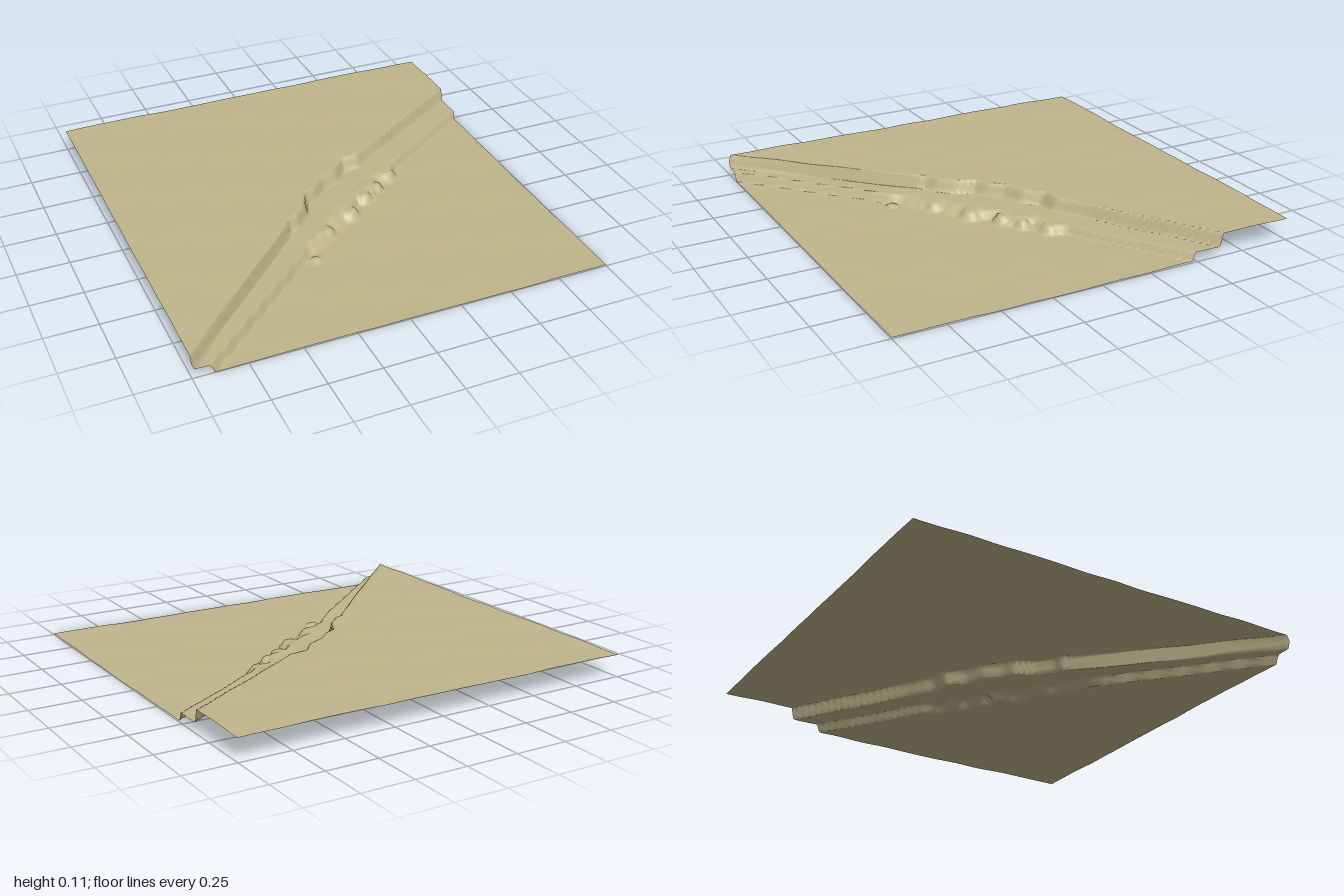
import * as THREE from 'three';

// Edge lines of the two terraces, as [x, z] points seen from above.
const upperEdge = [[-1, 1], [-0.27, 0.26], [-0.25, 0.23], [-0.2, 0.21], [-0.13, 0.14], [-0.09, 0.05],
  [-0.03, 0.02], [0.04, -0.05], [0.13, -0.09], [0.2, -0.17], [0.29, -0.18], [0.33, -0.21], [1, -0.63]];
const lowerEdge = [[-1, 1.08], [-0.91, 1], [-0.25, 0.42], [-0.21, 0.37], [-0.12, 0.33], [-0.05, 0.25],
  [0.03, 0.21], [0.12, 0.15], [0.17, 0.07], [0.27, 0.05], [0.33, -0.05], [0.42, -0.07], [0.47, -0.14], [1, -0.48]];

// Slumped blocks along the worn part of the lower terrace: [x, z, radius].
const blocks = [[-0.21, 0.44, 0.035], [-0.09, 0.27, 0.06], [0.08, 0.16, 0.065], [0.21, 0.06, 0.05],
  [0.3, 0.0, 0.045], [0.4, -0.09, 0.06]];

const TOP = 0.113, SHELF = 0.05, FLOOR = 0.008;
const smooth = THREE.MathUtils.smoothstep;

function edgeZ(points, x) {
  let i = 0;
  while (i < points.length - 2 && x > points[i + 1][0]) i++;
  const [a, b] = [points[i], points[i + 1]];
  return THREE.MathUtils.mapLinear(x, a[0], b[0], a[1], b[1]);
}

// Gentle rolling of the ground.
function ripple(x, z) {
  return 0.0016 * Math.sin(9 * x + 5 * z + 1) + 0.0014 * Math.sin(17 * z - 6 * x + 2)
    + 0.0011 * Math.sin(21 * x + 11 * z) * Math.cos(15 * z - 4 * x);
}

function groundHeight(x, z) {
  const worn = smooth(x, -0.3, -0.22) * (1 - smooth(x, 0.4, 0.5));
  const upperHalf = 0.007 + 0.009 * worn;
  const lowerHalf = 0.007 + 0.035 * worn;
  const dUpper = z - edgeZ(upperEdge, x);
  const dLower = z - edgeZ(lowerEdge, x);
  let y = FLOOR + (SHELF - FLOOR) * (1 - smooth(dLower, -lowerHalf, lowerHalf))
    + (TOP - SHELF) * (1 - smooth(dUpper, -upperHalf, upperHalf));
  // Broken ground around the worn lower edge
  const rough = worn * Math.exp(-((dLower / 0.07) ** 2));
  y += rough * 0.006 * Math.sin(42 * x + 18 * z) * Math.cos(37 * z - 12 * x);
  for (const [bx, bz, r] of blocks) {
    const d = Math.hypot((x - bx) * 0.9, z - bz);
    const mound = FLOOR + (bx < -0.15 ? 0.014 : 0.04) * (1 - smooth(d, r * 0.45, r));
    y = Math.max(y, mound);
  }
  return y + ripple(x, z);
}

export function createModel() {
  const model = new THREE.Group();
  model.name = 'terracedTerrain';
  const sand = new THREE.MeshStandardMaterial({ color: 0xbfb48a, side: THREE.DoubleSide });
  sand.name = 'sand';

  // One open ground sheet, raised by the height rule
  const sheet = new THREE.PlaneGeometry(2, 2, 160, 160).rotateX(-Math.PI / 2);
  const pos = sheet.attributes.position;
  for (let i = 0; i < pos.count; i++) pos.setY(i, groundHeight(pos.getX(i), pos.getZ(i)));
  sheet.computeBoundingBox();
  sheet.translate(0, -sheet.boundingBox.min.y, 0);
  sheet.computeVertexNormals();

  const ground = new THREE.Mesh(sheet, sand);
  ground.name = 'ground';
  model.add(ground);
  return model;
}
